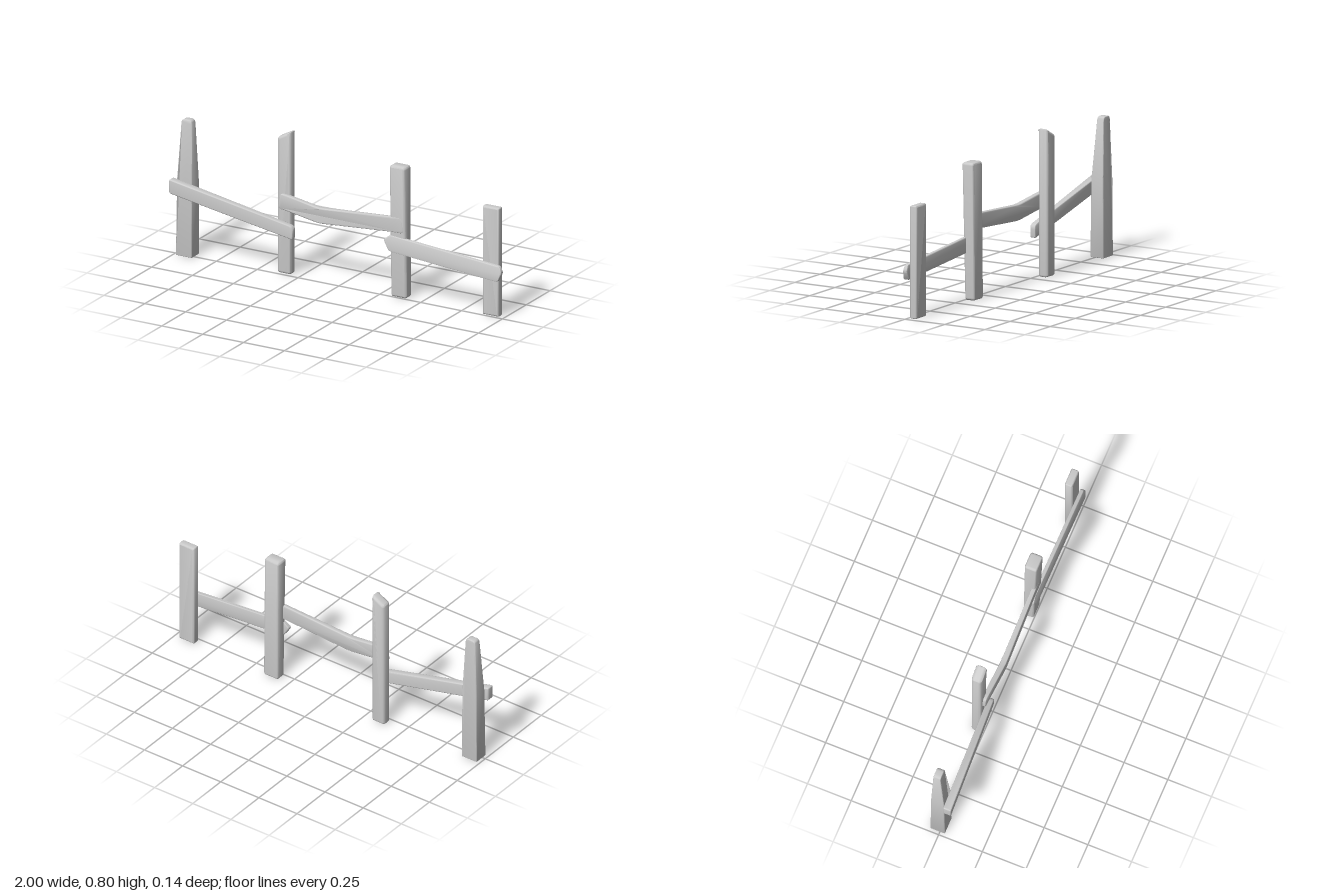
import * as THREE from 'three';
import { toCreasedNormals } from 'three/addons/utils/BufferGeometryUtils.js';

const material = new THREE.MeshStandardMaterial({ color: 0xcccccc });
const lerp = THREE.MathUtils.lerp;

// Closed outline from [x, y, cornerRadius] points
function outline(points) {
  const shape = new THREE.Shape();
  const n = points.length;
  points.forEach(([x, y, r = 0], i) => {
    const p = new THREE.Vector2(x, y);
    const toward = (q) => new THREE.Vector2(q[0], q[1]).sub(p).setLength(r).add(p);
    const a = toward(points[(i + n - 1) % n]);
    const b = toward(points[(i + 1) % n]);
    if (i === 0) shape.moveTo(a.x, a.y);
    else shape.lineTo(a.x, a.y);
    if (r > 0) shape.quadraticCurveTo(x, y, b.x, b.y);
  });
  shape.closePath();
  return shape;
}

// Bevelled plank; depthAt(x, y) gives its [back, front] z
function plank(name, points, bevel, depthAt) {
  const depth = 0.05;
  const geometry = new THREE.ExtrudeGeometry(outline(points), {
    depth: depth - 2 * bevel,
    curveSegments: 4,
    bevelEnabled: true,
    bevelThickness: bevel,
    bevelSize: bevel,
    bevelOffset: -bevel,
    bevelSegments: 3,
  });
  const pos = geometry.attributes.position;
  for (let i = 0; i < pos.count; i++) {
    const [back, front] = depthAt(pos.getX(i), pos.getY(i));
    pos.setZ(i, lerp(back, front, (pos.getZ(i) + bevel) / depth));
  }
  const mesh = new THREE.Mesh(toCreasedNormals(geometry, 0.65), material);
  mesh.name = name;
  return mesh;
}

// Straight interpolation through [position, back, front] stations
function through(stations, s) {
  let i = 0;
  while (i < stations.length - 2 && s > stations[i + 1][0]) i++;
  const [a, b] = [stations[i], stations[i + 1]];
  const t = (s - a[0]) / (b[0] - a[0]);
  return [lerp(a[1], b[1], t), lerp(a[2], b[2], t)];
}
const alongX = (stations) => (x) => through(stations, x);
const alongY = (stations) => (x, y) => through(stations, y);

export function createModel() {
  const group = new THREE.Group();
  group.name = 'fence';

  group.add(
    // Posts, from the model's right to its left
    plank('taperedPost', [
      [-0.983, 0, 0.005], [-0.885, 0, 0.005], [-0.886, 0.42],
      [-0.904, 0.76, 0.02], [-0.966, 0.76, 0.02], [-0.98, 0.42],
    ], 0.004, alongY([[0, -0.055, 0.028], [0.42, -0.053, 0.022], [0.76, -0.045, -0.005]])),
    plank('slantedPost', [
      [-0.386, 0, 0.012], [-0.305, 0, 0.012], [-0.305, 0.805, 0.012], [-0.386, 0.762, 0.012],
    ], 0.015, alongY([[0, -0.07, -0.012], [0.8, -0.07, -0.01]])),
    plank('leaningPost', [
      [0.315, 0, 0.015], [0.41, 0, 0.015], [0.41, 0.742, 0.015], [0.315, 0.742, 0.015],
    ], 0.01, alongY([[0, -0.062, -0.003], [0.4, -0.06, 0.002], [0.74, -0.055, 0.015]])),
    plank('shortPost', [
      [0.87, 0, 0.007], [0.97, 0, 0.007], [0.97, 0.61, 0.007], [0.87, 0.61, 0.007],
    ], 0.01, () => [-0.055, -0.011]),

    // Rails
    plank('slopingRail', [
      [-1, 0.358, 0.008], [-0.276, 0.213, 0.008], [-0.272, 0.285, 0.025], [-1, 0.436, 0.008],
    ], 0.006, alongX([[-1, 0.025, 0.07], [-0.27, -0.014, 0.018]])),
    plank('bentRail', [
      [-0.372, 0.37, 0.02], [-0.32, 0.366], [-0.115, 0.336, 0.03], [0.33, 0.368],
      [0.395, 0.368, 0.02], [0.39, 0.458, 0.025], [0.33, 0.452],
      [-0.115, 0.422, 0.03], [-0.32, 0.452], [-0.36, 0.456, 0.02],
    ], 0.007, alongX([[-0.37, -0.022, 0.006], [-0.115, -0.012, 0.02], [0.39, -0.014, 0.008]])),
    plank('pointedRail', [
      [0.315, 0.26, 0.015], [0.98, 0.208, 0.012], [1.0, 0.26, 0.012],
      [0.985, 0.293, 0.01], [0.315, 0.347, 0.012], [0.278, 0.318, 0.012],
    ], 0.007, (x, y) => {
      // Front face leans back towards the upper edge
      const up = (y - (0.303 - 0.078 * (x - 0.315))) / 0.086;
      return [-0.012, 0.015 - 0.013 * up];
    }),
  );
  return group;
}
